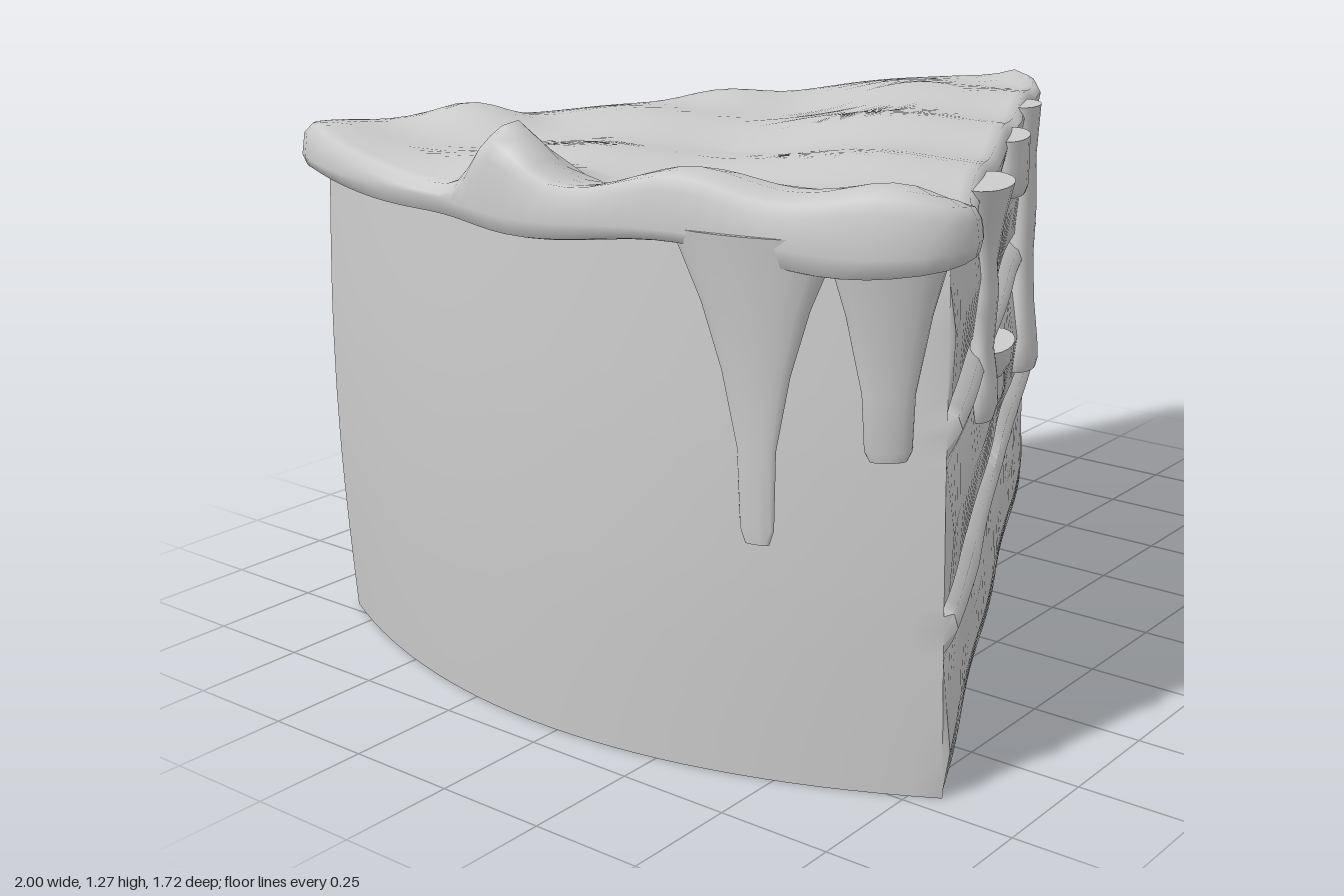
import * as THREE from 'three';
import { toCreasedNormals } from 'three/addons/utils/BufferGeometryUtils.js';

const V = (x, y, z) => new THREE.Vector3(x, y, z);
const material = new THREE.MeshStandardMaterial({ color: 0xcccccc, side: THREE.DoubleSide });
const CENTRE = [-0.3, -0.03];

// Joins closed rings of points (listed bottom to top) into one surface
function loft(rings) {
  const n = rings[0].length;
  const index = [];
  const points = rings.flat();
  const tri = (a, b, c) => {
    const [p, q, r] = [points[a], points[b], points[c]];
    if (p.distanceTo(q) > 1e-6 && q.distanceTo(r) > 1e-6 && r.distanceTo(p) > 1e-6) index.push(a, b, c);
  };
  for (let j = 0; j < rings.length - 1; j++) {
    for (let i = 0; i < n; i++) {
      const k = (i + 1) % n;
      tri(j * n + i, j * n + k, (j + 1) * n + k);
      tri(j * n + i, (j + 1) * n + k, (j + 1) * n + i);
    }
  }
  const geometry = new THREE.BufferGeometry().setFromPoints(points);
  geometry.setIndex(index);
  geometry.computeVertexNormals();
  return geometry;
}

// Linear interpolation through [x, value] pairs
function through(pairs, x) {
  for (let i = 1; i < pairs.length; i++) {
    const [x0, v0] = pairs[i - 1], [x1, v1] = pairs[i];
    if (x <= x1) return v0 + (v1 - v0) * THREE.MathUtils.clamp((x - x0) / (x1 - x0), 0, 1);
  }
  return pairs[pairs.length - 1][1];
}

// Plan of the wedge: front cut, rounded tip, back cut and outer crust
function wedgePlan() {
  const plan = [];
  const line = (x0, z0, x1, z1, side, steps) => {
    const d = Math.hypot(x1 - x0, z1 - z0);
    for (let i = 0; i <= steps; i++) {
      const t = i / steps;
      plan.push({ x: x0 + (x1 - x0) * t, z: z0 + (z1 - z0) * t, nx: -(z1 - z0) / d, nz: (x1 - x0) / d, side });
    }
  };
  line(-0.7, 0.81, 0.93, -0.01, 'front', 40);
  for (let i = 1; i < 8; i++) {
    const a = 1.11 - (i / 8) * 2.29;
    plan.push({ x: 0.905 + 0.055 * Math.cos(a), z: -0.06 + 0.055 * Math.sin(a), nx: Math.cos(a), nz: Math.sin(a), side: 'tip' });
  }
  line(0.926, -0.111, -0.72, -0.85, 'back', 40);
  for (let i = 0; i <= 30; i++) {
    const t = i / 30, z = -0.85 + 1.66 * t, bow = 1 - (2 * t - 1) ** 2;
    const slope = 0.46 * (2 * t - 1), l = Math.hypot(1, slope);
    plan.push({ x: -0.72 + 0.02 * t - 0.22 * bow, z, nx: -1 / l, nz: slope / l, side: 'crust' });
  }
  return plan;
}

// Sponge layers with two bands of filling, as [height, bulge]
const LAYERS = [
  [0, -0.015], [0.02, 0], [0.1, 0.01], [0.2, 0.006], [0.29, 0.002],
  [0.312, -0.02], [0.33, 0.016], [0.36, 0.026], [0.39, 0.016], [0.41, -0.018],
  [0.43, 0.004], [0.55, 0.014], [0.68, 0.002],
  [0.703, -0.02], [0.722, 0.016], [0.75, 0.026], [0.775, 0.016], [0.795, -0.018],
  [0.815, 0.002], [0.94, 0.012], [1.04, 0.002], [1.11, -0.015]
];
const FRONT_WAVE = [[-0.7, 0], [-0.5, -0.005], [-0.32, -0.03], [0.2, 0.03], [0.55, -0.015], [0.96, 0.005]];
const BACK_WAVE = [[-0.36, 0], [-0.25, 0.028], [-0.13, 0]];

function cakeGeometry() {
  const plan = wedgePlan();
  const rings = LAYERS.map(([y, bulge]) => plan.map((p) => {
    const low = Math.exp(-(((y - 0.36) / 0.11) ** 2));
    const high = Math.exp(-(((y - 0.75) / 0.11) ** 2));
    let off = bulge, wave = 0;
    if (p.side === 'crust') off = 0.02 * Math.sin(Math.PI * y / 1.1);
    else if (p.side === 'back') {
      off = Math.min(bulge, 0);
      wave = low * through(BACK_WAVE, p.x);
    } else {
      wave = low * through(FRONT_WAVE, p.x) + high * 0.008 * Math.sin(p.x * 7);
      off += 0.004 * Math.sin(p.x * 9 + y * 17);
    }
    return V(p.x + p.nx * off, y + wave, p.z + p.nz * off);
  }));
  const cap = (y) => plan.map(() => V(CENTRE[0], y, CENTRE[1]));
  return toCreasedNormals(loft([cap(0), ...rings, cap(1.11)]), 0.8);
}

// Icing sheet: uneven outline, rolled rim and a rippled, peaked top
const ICING_EDGE = [
  [-0.67, 0.85], [-0.38, 0.665], [-0.1, 0.525], [0.17, 0.39], [0.6, 0.18], [0.9, 0.035], [0.985, -0.01], [1, -0.08],
  [0.96, -0.15], [0.7, -0.26], [0.3, -0.425], [0.17, -0.505], [-0.02, -0.555], [-0.2, -0.64], [-0.55, -0.785],
  [-0.77, -0.86], [-0.89, -0.69], [-0.94, -0.3], [-1, -0.02], [-0.95, 0.3], [-0.9, 0.55], [-0.84, 0.76], [-0.77, 0.845]
];
// Peaks as [x, z, height, radius]
const PEAKS = [
  [-0.92, -0.07, 0.13, 0.09], [-0.86, 0.33, 0.08, 0.17], [-0.5, -0.62, 0.075, 0.13],
  [-0.76, 0.74, 0.06, 0.15], [0.98, -0.06, 0.03, 0.06], [-0.75, -0.78, 0.03, 0.15], [0.2, -0.4, 0.025, 0.12]
];

function icingTop(x, z) {
  let y = 1.145 + 0.012 * Math.sin(5 * x + 9 * z) + 0.01 * Math.sin(11 * x - 6 * z + 1);
  for (const [px, pz, h, r] of PEAKS) y += h * Math.exp(-((x - px) ** 2 + (z - pz) ** 2) / (r * r));
  return y;
}

function icingGeometry() {
  const curve = new THREE.CatmullRomCurve3(ICING_EDGE.map(([x, z]) => V(x, 0, z)), true, 'centripetal');
  const edge = curve.getSpacedPoints(120).slice(0, 120);
  const ring = (scale, height) => edge.map((p, i) => {
    const x = CENTRE[0] + (p.x - CENTRE[0]) * scale;
    const z = CENTRE[1] + (p.z - CENTRE[1]) * scale;
    return V(x, height(x, z, i), z);
  });
  const rim = (i) => 0.012 * Math.sin(i * Math.PI / 10) + 0.008 * Math.sin(i * Math.PI / 6 + 2);
  const rings = [
    ring(0.9, () => 1.09),
    ring(0.965, (x, z, i) => 1.07 + rim(i)),
    ring(0.99, (x, z, i) => 1.075 + rim(i)),
    ring(1, (x, z, i) => 1.105 + rim(i) * 0.5),
    ring(0.992, (x, z) => icingTop(x, z) - 0.018)
  ];
  for (const s of [0.97, 0.93, 0.87, 0.8, 0.7, 0.6, 0.5, 0.4, 0.3, 0.2, 0.1, 0]) rings.push(ring(s, icingTop));
  return loft(rings);
}

// Flattened hanging drip; profile lists [half width, height] from the bottom up
function drip(name, x, z, turn, flat, profile) {
  const points = [[0, profile[0][1]], ...profile].map(([r, y]) => new THREE.Vector2(r, y));
  points.push(new THREE.Vector2(0, profile[profile.length - 1][1]));
  const mesh = new THREE.Mesh(toCreasedNormals(new THREE.LatheGeometry(points, 20), 0.9), material);
  mesh.name = name;
  mesh.position.set(x, 0, z);
  mesh.rotation.y = turn;
  mesh.scale.z = flat;
  return mesh;
}

export function createModel() {
  const group = new THREE.Group();
  group.name = 'cakeSlice';
  const add = (name, geometry) => {
    const mesh = new THREE.Mesh(geometry, material);
    mesh.name = name;
    group.add(mesh);
  };
  add('layeredCake', cakeGeometry());
  add('icing', icingGeometry());

  // Drips down the front cut
  const front = (name, x, flat, profile) =>
    group.add(drip(name, x, 0.825 - 0.5015 * (x + 0.7), 0.465, flat, profile));
  front('longDrip', 0.63, 0.6, [[0.075, 0.455], [0.085, 0.48], [0.08, 0.53], [0.062, 0.63], [0.054, 0.75],
    [0.062, 0.88], [0.055, 1.0], [0.07, 1.13]]);
  front('mediumDrip', -0.26, 0.55, [[0.05, 0.63], [0.065, 0.66], [0.06, 0.72], [0.045, 0.78], [0.055, 0.86],
    [0.06, 0.9], [0.05, 0.96], [0.075, 1.05], [0.11, 1.13]]);
  front('shortDrip', 0.28, 0.45, [[0.08, 0.985], [0.095, 1.0], [0.1, 1.06], [0.1, 1.12]]);
  front('fillingDrip', -0.05, 0.45, [[0.055, 0.605], [0.065, 0.62], [0.062, 0.66], [0.1, 0.69], [0.11, 0.73]]);

  // Pointed drips over the crust
  group.add(drip('crustDrip', -0.87, 0.49, -1.3, 0.3,
    [[0.025, 0.51], [0.035, 0.54], [0.04, 0.7], [0.07, 0.85], [0.11, 0.98], [0.17, 1.12]]));
  group.add(drip('cornerDrip', -0.78, 0.73, -0.9, 0.4,
    [[0.035, 0.7], [0.045, 0.72], [0.05, 0.83], [0.08, 0.98], [0.12, 1.12]]));
  return group;
}
